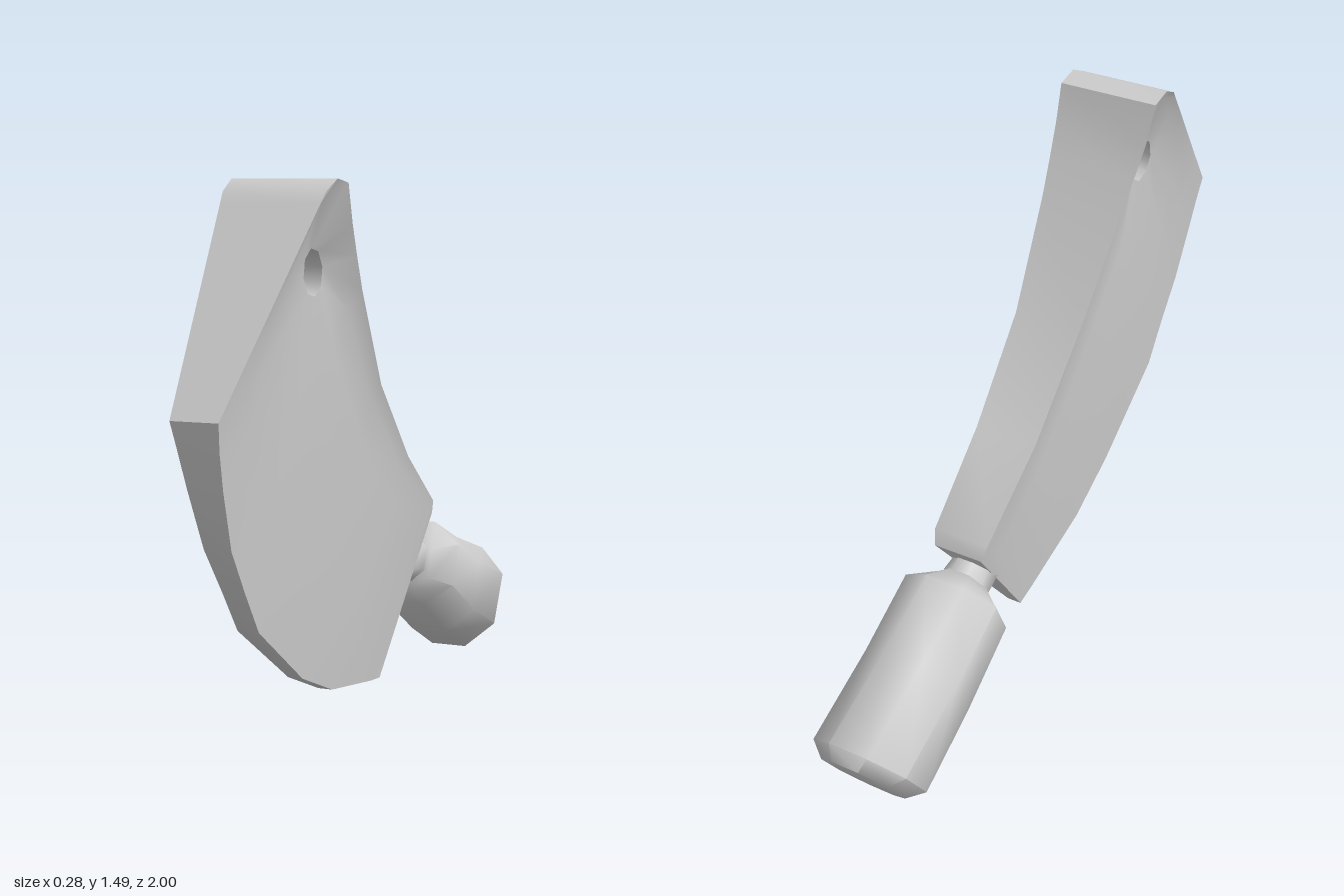
import * as THREE from 'three';
import { toCreasedNormals } from 'three/addons/utils/BufferGeometryUtils.js';

const material = new THREE.MeshStandardMaterial({ color: 0xcccccc });

// Collects quads and triangles, then makes a mesh with edges sharper than the crease kept hard
function builder() {
  const pos = [];
  const tri = (a, b, c) => pos.push(...a, ...b, ...c);
  const quad = (a, b, c, d) => { tri(a, b, c); tri(a, c, d); };
  const mesh = (name, crease) => {
    const geo = new THREE.BufferGeometry();
    geo.setAttribute('position', new THREE.Float32BufferAttribute(pos, 3));
    const m = new THREE.Mesh(toCreasedNormals(geo, crease), material);
    m.name = name;
    return m;
  };
  return { tri, quad, mesh };
}

// Blade: stations from heel to front, each running from the spine to the cutting edge
function createBlade() {
  // spine z, y, half width; edge z, y, half width; hollowing of the side
  const stations = [
    [-0.42, 0.51, 0.07, -0.11, 0.08, 0.02, 1],
    [-0.40, 0.55, 0.08, -0.04, 0.09, 0.02, 1],
    [-0.15, 0.72, 0.09, 0.25, 0.145, 0.02, 0.92],
    [0.09, 0.95, 0.098, 0.45, 0.23, 0.02, 0.85],
    [0.28, 1.21, 0.118, 0.73, 0.42, 0.028, 0.8],
    [0.34, 1.30, 0.127, 0.81, 0.535, 0.03, 0.75],
    [0.39, 1.38, 0.135, 0.89, 0.65, 0.035, 0.72],
    [0.43, 1.48, 0.14, 0.95, 0.80, 0.045, 0.75],
    [0.50, 1.49, 0.14, 0.98, 0.89, 0.052, 0.88],
    [0.56, 1.46, 0.135, 1.0, 0.96, 0.06, 1],
  ];
  const rows = [0, 0.06, 0.2, 0.36, 0.55, 0.78, 1];
  const N = stations.length - 1, M = rows.length - 1;
  const lerp = THREE.MathUtils.lerp;
  const grid = stations.map(([sz, sy, sw, ez, ey, ew, hollow]) => rows.map((t) => {
    const dip = t === 0 || t === 1 ? 1 : lerp(hollow, 1, t * t);
    return [lerp(sw, ew, t) * dip, lerp(sy, ey, t), lerp(sz, ez, t)];
  }));

  // Hanging hole: the eight points around one grid point move onto an octagon
  const hi = 6, hj = 2;
  const around = [[-1, -1], [0, -1], [1, -1], [1, 0], [1, 1], [0, 1], [-1, 1], [-1, 0]];
  const hole = around.map(([di, dj], k) => {
    const a = THREE.MathUtils.degToRad(169 - 45 * k);
    const p = grid[hi + di][hj + dj];
    p[0] = 0.075;
    p[1] = 1.265 + 0.06 * Math.sin(a);
    p[2] = 0.5 + 0.06 * Math.cos(a);
    return p;
  });

  const { quad, mesh } = builder();
  const flip = ([x, y, z]) => [-x, y, z];

  // Both sides
  for (let i = 0; i < N; i++) {
    for (let j = 0; j < M; j++) {
      if ((i === hi || i === hi - 1) && (j === hj || j === hj - 1)) continue;
      const c = [grid[i][j], grid[i + 1][j], grid[i + 1][j + 1], grid[i][j + 1]];
      quad(...c);
      quad(...c.map(flip).reverse());
    }
  }

  // Walls joining the two sides around the rim and through the hole
  const wall = (loop) => loop.forEach((a, k) => {
    const b = loop[(k + 1) % loop.length];
    quad(b, a, flip(a), flip(b));
  });
  const rim = [];
  for (let i = 0; i < N; i++) rim.push(grid[i][0]);
  for (let j = 0; j < M; j++) rim.push(grid[N][j]);
  for (let i = N; i > 0; i--) rim.push(grid[i][M]);
  for (let j = M; j > 0; j--) rim.push(grid[0][j]);
  wall(rim);
  wall(hole.reverse());
  return mesh('blade', 0.8);
}

// Lofts octagonal sections: top z, y; bottom z, y; half width
function loftOctagons(name, sections) {
  const profile = [[1, -0.5], [1, 0.5], [0.4, 1], [-0.4, 1], [-1, 0.5], [-1, -0.5], [-0.4, -1], [0.4, -1]];
  const rings = sections.map(([tz, ty, bz, by, w]) => profile.map(([u, v]) => {
    const s = (v + 1) / 2;
    return [u * w, by + (ty - by) * s, bz + (tz - bz) * s];
  }));
  const { tri, quad, mesh } = builder();
  for (let r = 0; r < rings.length - 1; r++) {
    const a = rings[r], b = rings[r + 1];
    for (let k = 0; k < 8; k++) {
      const n = (k + 1) % 8;
      quad(a[k], b[k], b[n], a[n]);
    }
  }
  const first = rings[0], last = rings[rings.length - 1];
  for (let k = 1; k < 7; k++) {
    tri(first[0], first[k], first[k + 1]);
    tri(last[0], last[k + 1], last[k]);
  }
  return mesh(name, 1.0);
}

export function createModel() {
  const group = new THREE.Group();
  group.name = 'cleaver';
  group.add(createBlade());

  // Short tang between blade and handle
  group.add(loftOctagons('neck', [
    [-0.34, 0.47, -0.25, 0.33, 0.05],
    [-0.41, 0.44, -0.345, 0.32, 0.06],
    [-0.46, 0.43, -0.40, 0.29, 0.06],
  ]));

  // Grip with bevelled ends
  group.add(loftOctagons('handle', [
    [-0.415, 0.44, -0.36, 0.28, 0.075],
    [-0.49, 0.467, -0.385, 0.235, 0.14],
    [-0.70, 0.38, -0.60, 0.10, 0.14],
    [-0.98, 0.29, -0.80, 0.0, 0.14],
    [-1.0, 0.25, -0.85, 0.01, 0.1],
  ]));
  return group;
}
